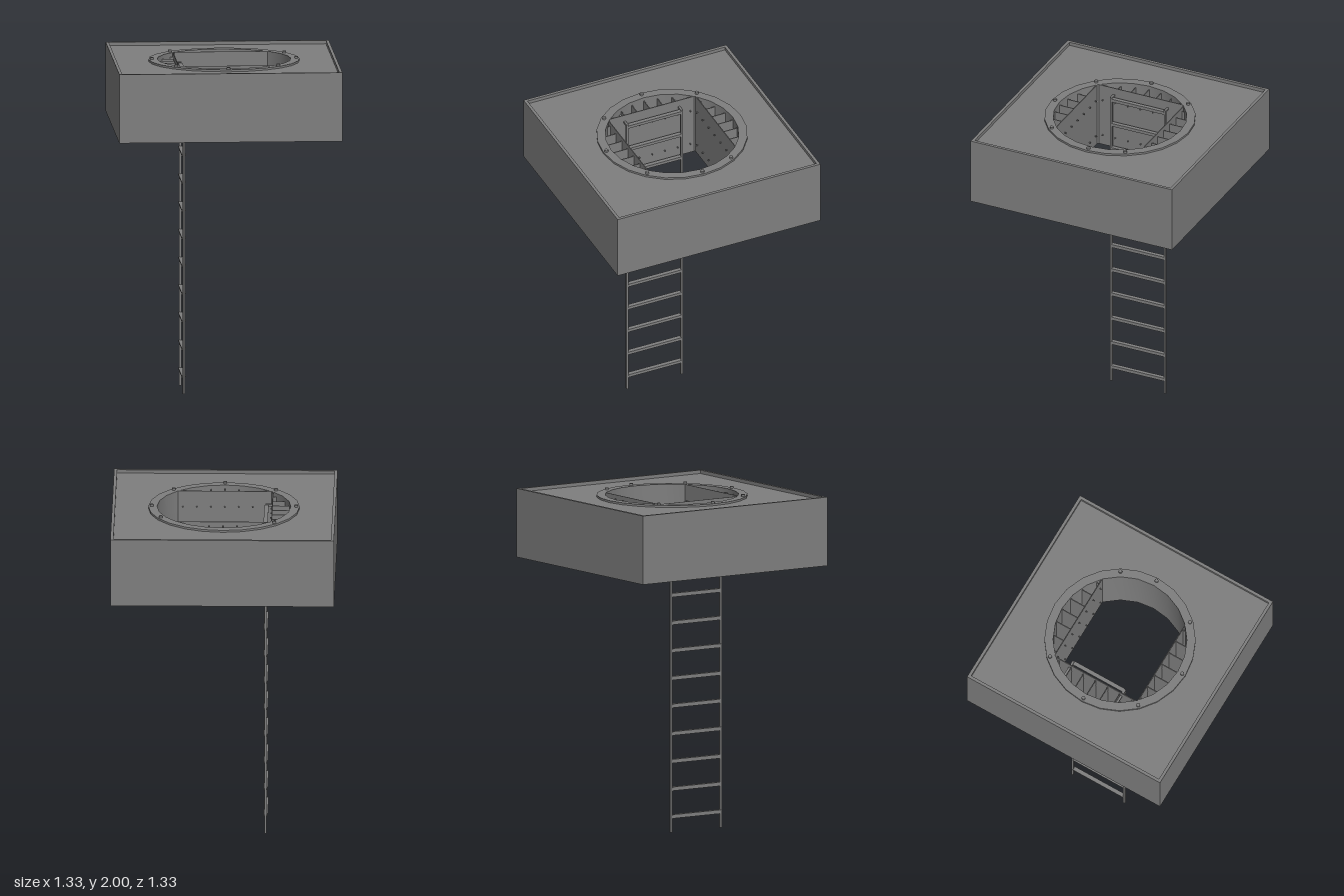
import * as THREE from 'three';
import { toCreasedNormals } from 'three/addons/utils/BufferGeometryUtils.js';

const SIDES = 24;
const BASE = 1.584; // underside of the casing
const INNER = 0.398; // shaft radius

// Regular polygon approximating a circle
function ringPoints(r) {
  return Array.from({ length: SIDES }, (_, i) => {
    const a = (i / SIDES) * Math.PI * 2;
    return new THREE.Vector2(Math.cos(a) * r, Math.sin(a) * r);
  });
}

function squarePoints(h) {
  return [[-h, -h], [h, -h], [h, h], [-h, h]].map(([x, y]) => new THREE.Vector2(x, y));
}

// Upright wall or slab between two heights, with a hole
function slab(outer, hole, y0, y1) {
  const shape = new THREE.Shape(outer);
  shape.holes.push(new THREE.Path(hole));
  const geo = new THREE.ExtrudeGeometry(shape, { depth: y1 - y0, bevelEnabled: false });
  geo.rotateX(-Math.PI / 2);
  geo.translate(0, y0, 0);
  return toCreasedNormals(geo, 0.5);
}

export function createModel() {
  const model = new THREE.Group();
  const steel = new THREE.MeshStandardMaterial({ color: 0x7f7f7f });
  steel.name = 'grey steel';

  const add = (parent, name, geo, x = 0, y = 0, z = 0) => {
    const mesh = new THREE.Mesh(geo, steel);
    mesh.name = name;
    mesh.position.set(x, y, z);
    parent.add(mesh);
  };

  // Square casing: thin outer wall with a panel recessed from both ends
  add(model, 'casingWall', slab(squarePoints(0.665), squarePoints(0.647), BASE, 1.997));
  add(model, 'casingPanel', slab(squarePoints(0.65), ringPoints(0.44), 1.675, 1.976));

  // Round shaft collar through the panel
  add(model, 'shaftCollar', slab(ringPoints(0.45), ringPoints(INNER), BASE, 1.988));

  // Bolts on the collar
  const boltGeo = new THREE.CylinderGeometry(0.011, 0.011, 0.016, 12);
  [0, 45, 90, 135, 180, 225, 330].forEach((deg) => {
    const a = THREE.MathUtils.degToRad(deg);
    add(model, 'collarBolt', boltGeo, Math.cos(a) * 0.43, 1.992, Math.sin(a) * 0.43);
  });

  // Flat lining plates on three sides, held off the shaft by fins and bolts
  const plateHeight = 1.988 - BASE;
  const finHeight = 1.965 - BASE;
  const rivetGeo = new THREE.CylinderGeometry(0.004, 0.004, 0.018, 8).rotateX(Math.PI / 2);
  [['frontLining', 0], ['backLining', Math.PI], ['ladderLining', -Math.PI / 2]].forEach(([name, turn]) => {
    const lining = new THREE.Group();
    lining.name = name;
    lining.rotation.y = turn;
    add(lining, 'liningPlate', new THREE.BoxGeometry(0.565, plateHeight, 0.005), 0, BASE + plateHeight / 2, 0.287);
    for (let i = -3; i <= 3; i++) {
      const x = i * 0.0833;
      const depth = Math.sqrt(INNER ** 2 - x * x) - 0.287;
      add(lining, 'liningFin', new THREE.BoxGeometry(0.005, finHeight, depth), x, BASE + finHeight / 2, 0.287 + depth / 2);
      for (const y of [1.65, 1.89]) add(lining, 'liningRivet', rivetGeo, x, y, 0.282);
    }
    model.add(lining);
  });

  // Ladder hanging from the shaft wall
  const ladder = new THREE.Group();
  ladder.name = 'ladder';
  const railTop = 1.945;
  for (const side of [-1, 1]) {
    add(ladder, 'ladderRail', new THREE.BoxGeometry(0.013, railTop, 0.013), -0.25, railTop / 2, side * 0.178);
    add(ladder, 'ladderBracket', new THREE.BoxGeometry(0.115, 0.013, 0.013), -0.3, railTop - 0.0065, side * 0.178);
  }
  // Rungs: a flat tread on an upright web
  const treadGeo = new THREE.BoxGeometry(0.025, 0.005, 0.346);
  const webGeo = new THREE.BoxGeometry(0.012, 0.02, 0.346);
  for (let i = 0; i < 12; i++) {
    const y = 0.105 + i * 0.1665;
    add(ladder, 'rungTread', treadGeo, -0.25, y, 0);
    add(ladder, 'rungWeb', webGeo, -0.25, y - 0.0115, 0);
  }
  model.add(ladder);

  return model;
}
